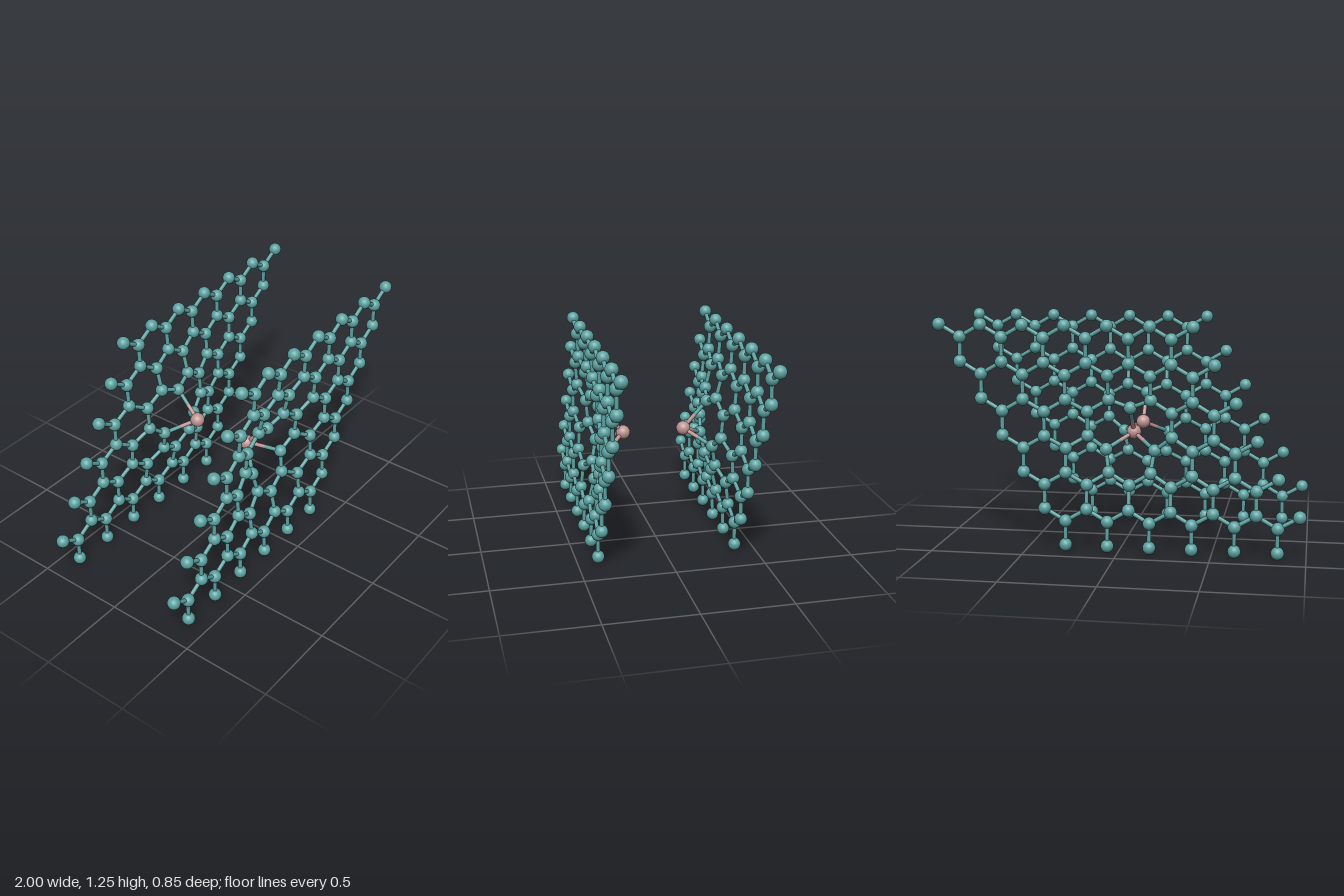
import * as THREE from 'three';

const A = 0.2267;          // spacing of atoms along a row
const PITCH = 0.1967;      // height of one row of hexagons
const BOND = 0.1311;       // flat bond length
const X0 = -0.9635, Y0 = 0.0365;

const teal = new THREE.MeshStandardMaterial({ color: 0x5aa09f });
teal.name = 'teal';
const rose = new THREE.MeshStandardMaterial({ color: 0xbf9292 });
rose.name = 'rose';

const atomGeo = new THREE.SphereGeometry(0.0355, 20, 14);
const dopantGeo = new THREE.SphereGeometry(0.04, 24, 16);
const rodGeo = new THREE.CylinderGeometry(0.0118, 0.0118, 1, 10, 1, true);
const UP = new THREE.Vector3(0, 1, 0);

function rod(from, to, material, name) {
  const dir = to.clone().sub(from);
  const mesh = new THREE.Mesh(rodGeo, material);
  mesh.name = name;
  mesh.position.copy(from).add(to).multiplyScalar(0.5);
  mesh.scale.y = dir.length();
  mesh.quaternion.setFromUnitVectors(UP, dir.normalize());
  return mesh;
}

// Honeycomb lattice points of a skewed six by six sheet
function latticePoints() {
  const points = [];
  for (let j = 0; j <= 6; j++) {
    for (let i = 0; i <= 6; i++) {
      const x = X0 + (j - 1) * A / 2 + i * A;
      const y = Y0 + j * PITCH;
      if (j > 0 || i > 0) points.push({ x, y, dopant: j === 3 && i === 3 });
      if (j < 6 && i > 0) points.push({ x, y: y + BOND, dopant: false });
    }
  }
  return points;
}

// One sheet, bulging towards the middle around its dopant atom
function createSheet(side, name) {
  const sheet = new THREE.Group();
  sheet.name = name;
  const points = latticePoints();
  const centre = points.find((p) => p.dopant);

  for (const p of points) {
    const dx = p.x - centre.x, dy = p.y - centre.y;
    const near = Math.hypot(dx, dy);
    // the three atoms next to the dopant are pushed outwards
    const push = !p.dopant && near < 0.16 ? 1.155 : 1;
    const d = near * push;
    const z = p.dopant ? 0.174 : 0.388 - 0.003 * p.x - 0.106 * Math.exp(-d * d / 0.08);
    p.pos = new THREE.Vector3(centre.x + dx * push, centre.y + dy * push, side * z);

    const atom = new THREE.Mesh(p.dopant ? dopantGeo : atomGeo, p.dopant ? rose : teal);
    atom.name = p.dopant ? 'dopantAtom' : 'sheetAtom';
    atom.position.copy(p.pos);
    sheet.add(atom);
  }

  // Bonds between lattice neighbours, two-coloured at the dopant
  points.forEach((p, n) => {
    for (const q of points.slice(n + 1)) {
      if (Math.hypot(p.x - q.x, p.y - q.y) > 0.16) continue;
      if (p.dopant || q.dopant) {
        const mid = p.pos.clone().lerp(q.pos, 0.5);
        sheet.add(rod(p.pos, mid, p.dopant ? rose : teal, 'dopantBondHalf'));
        sheet.add(rod(mid, q.pos, q.dopant ? rose : teal, 'dopantBondHalf'));
      } else {
        sheet.add(rod(p.pos, q.pos, teal, 'sheetBond'));
      }
    }
  });
  return sheet;
}

export function createModel() {
  const model = new THREE.Group();
  model.name = 'dopedDoubleSheet';
  model.add(createSheet(1, 'frontSheet'), createSheet(-1, 'backSheet'));
  return model;
}
